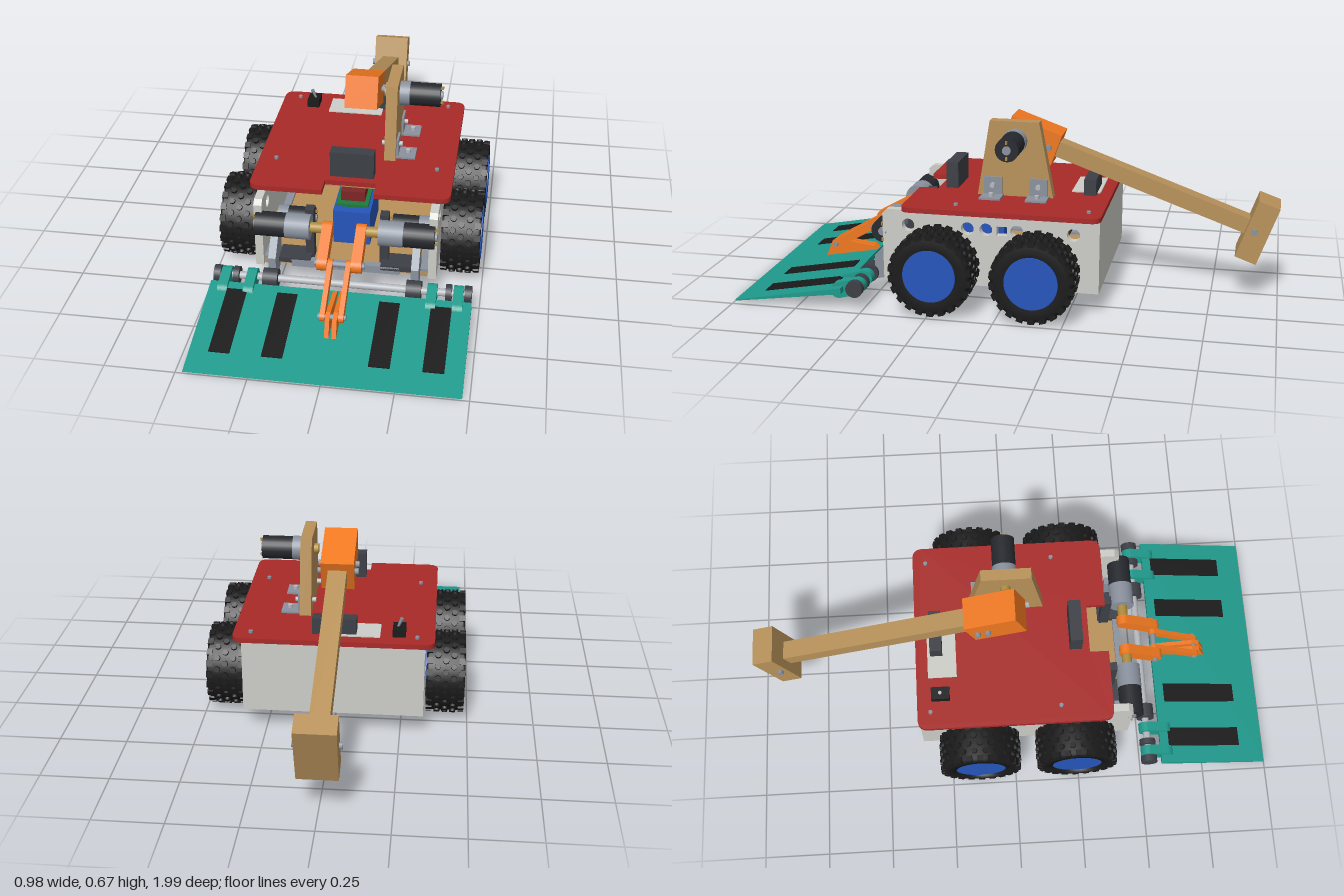
import * as THREE from 'three';
import { mergeGeometries } from 'three/addons/utils/BufferGeometryUtils.js';

const C = { wall: 0xcdcdc8, red: 0xa82a28, wood: 0xb8915a, orange: 0xf07820, teal: 0x1f9a8c, black: 0x1a1a1a,
  motor: 0x25282d, steel: 0x8a929e, dark: 0x3c3f46, brass: 0xb08d3c, blue: 0x2555bb, silver: 0xb5b8bd };

const mats = {};
const mat = c => (mats[c] ??= new THREE.MeshStandardMaterial({ color: c }));

function add(parent, name, geo, color) {
  const m = new THREE.Mesh(geo, mat(color));
  m.name = name;
  parent.add(m);
  return m;
}

// Box given by its limits on each axis
function box(parent, name, color, [x0, x1], [y0, y1], [z0, z1]) {
  const g = new THREE.BoxGeometry(x1 - x0, y1 - y0, z1 - z0);
  return add(parent, name, g.translate((x0 + x1) / 2, (y0 + y1) / 2, (z0 + z1) / 2), color);
}

// Cylinder lying along x
function rod(parent, name, color, x0, x1, r, y, z, sides = 24) {
  const g = new THREE.CylinderGeometry(r, r, Math.abs(x1 - x0), sides).rotateZ(Math.PI / 2);
  return add(parent, name, g.translate((x0 + x1) / 2, y, z), color);
}

// Side profile in (z, y), extruded from x0 to x1
function slab(parent, name, color, shape, x0, x1) {
  const g = new THREE.ExtrudeGeometry(shape, { depth: x1 - x0, bevelEnabled: false, curveSegments: 12 });
  return add(parent, name, g.rotateY(-Math.PI / 2).translate(x1, 0, 0), color);
}
const poly = pts => new THREE.Shape(pts.map(p => new THREE.Vector2(...p)));

// Bar with round ends between two (z, y) points
function barShape(p, q, r) {
  const a = Math.atan2(q[1] - p[1], q[0] - p[0]), h = Math.PI / 2;
  const s = new THREE.Shape();
  s.absarc(p[0], p[1], r, a + h, a + 3 * h, false);
  s.absarc(q[0], q[1], r, a - h, a + h, false);
  s.closePath();
  return s;
}

// Motor with its shaft pointing toward x = 0 on the side s
function motor(parent, name, s, x0, y, z, r, boxLen, canLen) {
  const g = new THREE.Group();
  g.name = name;
  parent.add(g);
  const x1 = x0 + boxLen, x2 = x1 + canLen;
  rod(g, 'gearbox', C.steel, s * x0, s * x1, r, y, z);
  rod(g, 'motorCan', C.motor, s * x1, s * x2, r * 0.96, y, z);
  rod(g, 'rearBoss', C.steel, s * x2, s * (x2 + 0.008), r * 0.35, y, z, 16);
  for (const k of [-1, 1]) box(g, 'terminal', C.brass, [s * x2 - 0.008, s * x2 + 0.008].map(v => v + s * 0.003), [y + k * 0.03 - 0.006, y + k * 0.03 + 0.006], [z - 0.003, z + 0.003]);
  rod(g, 'coupler', C.brass, s * (x0 - 0.06), s * x0, r * 0.42, y, z, 16);
}

function wheel(s, z) {
  const g = new THREE.Group();
  g.name = 'wheel';
  // Tyre profile as (radius, offset along the axle)
  const prof = [[0.096, -0.068], [0.135, -0.072], [0.149, -0.062], [0.149, 0.062], [0.135, 0.072], [0.096, 0.068], [0.096, -0.068]];
  add(g, 'tyre', new THREE.LatheGeometry(prof.map(p => new THREE.Vector2(...p)), 40).rotateZ(Math.PI / 2), C.black).material.side = THREE.DoubleSide;
  const knobs = [];
  for (let row = 0; row < 5; row++) for (let i = 0; i < 22; i++) {
    const edge = row === 0 || row === 4;
    const k = edge ? new THREE.BoxGeometry(0.022, 0.022, 0.024) : new THREE.CylinderGeometry(0.011, 0.013, 0.02, 8);
    k.translate((row - 2) * 0.03, edge ? 0.144 : 0.148, 0);
    knobs.push(k.rotateX(((i + (row % 2) / 2) / 22) * Math.PI * 2));
  }
  add(g, 'treadKnobs', mergeGeometries(knobs), C.black);
  rod(g, 'hub', C.blue, -0.066, 0.075, 0.098, 0, 0, 40);
  rod(g, 'axle', C.steel, -s * 0.18, 0, 0.014, 0, 0, 12);
  g.position.set(s * 0.414, 0.158, z);
  return g;
}

export function createModel() {
  const root = new THREE.Group();
  root.name = 'hammerRobot';

  // Open-fronted chassis
  const chassis = new THREE.Group();
  chassis.name = 'chassis';
  root.add(chassis);
  const side = poly([[-0.36, 0.08], [0.455, 0.08], [0.455, 0.34], [0.437, 0.357], [-0.36, 0.357]]);
  for (const z of [0.356, 0.13, 0.06, -0.056, -0.265]) side.holes.push(new THREE.Path().absarc(z, 0.3, 0.024, 0, Math.PI * 2, true));
  side.holes.push(new THREE.Path([[-0.02, 0.28], [-0.02, 0.315], [0.02, 0.315], [0.02, 0.28]].map(p => new THREE.Vector2(...p))));
  for (const x of [-0.335, 0.305]) slab(chassis, 'sideWall', C.wall, side, x, x + 0.03);
  box(chassis, 'backWall', C.wall, [-0.305, 0.305], [0.08, 0.357], [-0.36, -0.33]);
  box(chassis, 'floor', C.wood, [-0.305, 0.305], [0.085, 0.1], [-0.33, 0.44]);
  for (const s of [-1, 1]) box(chassis, 'floorRail', C.steel, [s * 0.29 - 0.015, s * 0.29 + 0.015], [0.08, 0.11], [-0.33, 0.44]);
  box(chassis, 'rearFloorRail', C.steel, [-0.28, 0.28], [0.08, 0.11], [-0.33, -0.3]);
  box(chassis, 'frontRail', C.steel, [-0.2, 0.2], [0.085, 0.115], [0.43, 0.455]);
  box(chassis, 'battery', C.blue, [-0.07, 0.07], [0.1, 0.24], [0.05, 0.3]);
  box(chassis, 'circuitBoard', 0x1f7a3c, [-0.06, 0.06], [0.25, 0.262], [0.05, 0.28]);
  box(chassis, 'receiver', 0x7d2626, [-0.045, 0.045], [0.265, 0.305], [0.08, 0.26]);
  for (const s of [-1, 1]) for (const z of [0.238, -0.137]) {
    motor(chassis, 'driveMotor', -s, -0.29, 0.16, z, 0.042, 0.04, 0.1);
    root.add(wheel(s, z));
  }

  // Lid: rounded rectangle with a front notch, drawn in (x, -z)
  const lid = new THREE.Shape(), w = 0.37, b = 0.365, f = -0.378, r = 0.04;
  lid.moveTo(-w + r, f).lineTo(-0.097, f).lineTo(-0.097, -0.305).lineTo(0.093, -0.305).lineTo(0.093, f);
  lid.lineTo(w - r, f).quadraticCurveTo(w, f, w, f + r).lineTo(w, b - r).quadraticCurveTo(w, b, w - r, b);
  lid.lineTo(-w + r, b).quadraticCurveTo(-w, b, -w, b - r).lineTo(-w, f + r).quadraticCurveTo(-w, f, -w + r, f);
  add(root, 'lid', new THREE.ExtrudeGeometry(lid, { depth: 0.019, bevelEnabled: false }).rotateX(-Math.PI / 2).translate(0, 0.358, 0), C.red);
  box(root, 'subLid', C.wood, [-0.2, 0.285], [0.344, 0.358], [-0.28, 0.29]);
  for (const x of [-0.305, 0.305]) for (const z of [-0.315, 0.18])
    add(root, 'lidScrew', new THREE.CylinderGeometry(0.008, 0.008, 0.01, 12).translate(x, 0.381, z), C.steel);

  // Parts on the lid
  box(root, 'frontStop', C.dark, [-0.083, 0.08], [0.376, 0.478], [0.228, 0.275]);
  box(root, 'rearStop', C.dark, [-0.083, 0.08], [0.376, 0.44], [-0.308, -0.262]);
  box(root, 'accessPanel', C.wall, [-0.17, 0.045], [0.376, 0.381], [-0.32, -0.21]);
  box(root, 'switchBody', C.black, [-0.263, -0.215], [0.376, 0.406], [-0.31, -0.24]);
  const lever = add(root, 'switchLever', new THREE.CylinderGeometry(0.007, 0.004, 0.04, 10), C.steel);
  lever.position.set(-0.24, 0.42, -0.275);
  lever.rotation.z = 0.4;

  // Hammer tower and its motor
  slab(root, 'tower', C.wood, poly([[0.136, 0.345], [0.136, 0.375], [0.088, 0.665], [-0.1, 0.665], [-0.155, 0.375], [-0.155, 0.345]]), 0.1, 0.143);
  motor(root, 'hammerMotor', 1, 0.143, 0.593, -0.01, 0.046, 0.038, 0.115);
  for (const z of [0.075, -0.1]) {
    const g = new THREE.Group();
    g.name = 'towerBracket';
    root.add(g);
    box(g, 'bracketFoot', C.steel, [0.143, 0.215], [0.376, 0.384], [z - 0.04, z + 0.04]);
    box(g, 'bracketBack', C.steel, [0.143, 0.151], [0.376, 0.45], [z - 0.035, z + 0.035]);
    rod(g, 'bracketBolt', C.silver, 0.085, 0.164, 0.01, 0.42, z, 8);
    add(g, 'footBolt', new THREE.CylinderGeometry(0.01, 0.01, 0.07, 8).translate(0.185, 0.362, z), C.silver);
  }

  // Hammer, built level and then tilted about its hub
  const hammer = new THREE.Group();
  hammer.name = 'hammer';
  hammer.position.set(0, 0.575, -0.055);
  hammer.rotation.x = -0.345;
  root.add(hammer);
  box(hammer, 'hammerHub', C.orange, [-0.062, 0.062], [-0.0625, 0.0625], [-0.102, 0.102]);
  box(hammer, 'hammerArm', C.wood, [-0.035, 0.035], [-0.03, 0.03], [-0.93, -0.1]);
  box(hammer, 'hammerHead', C.wood, [-0.072, 0.072], [-0.117, 0.117], [-0.954, -0.87]);
  rod(hammer, 'headBolt', C.steel, -0.084, 0.084, 0.012, 0, -0.9, 10);
  for (const z of [-0.07, -0.03]) rod(hammer, 'hubBolt', C.steel, -0.077, 0.077, 0.012, 0, z, 10);

  // Lifting linkage, mirrored left and right
  const lift = new THREE.Group();
  lift.name = 'liftLinkage';
  root.add(lift);
  const pivot = [0.457, 0.267], elbow = [0.577, 0.2], toe = [0.752, 0.1];
  for (const s of [-1, 1]) {
    const bar = (name, shape, a, c) => slab(lift, name, C.orange, shape, Math.min(s * a, s * c), Math.max(s * a, s * c));
    motor(lift, 'liftMotor', s, 0.125, 0.267, 0.457, 0.047, 0.09, 0.112);
    bar('crank', barShape(pivot, elbow, 0.027), 0.043, 0.08);
    bar('pushLink', barShape(elbow, toe, 0.017), 0.024, 0.042);
    bar('toeClevis', poly([[0.585, 0.082], [0.8, 0.042], [0.775, 0.105], [0.745, 0.115], [0.6, 0.097]]), 0.005, 0.021);
    box(lift, 'motorPlate', C.dark, [s * 0.138 - 0.016, s * 0.138 + 0.016], [0.1, 0.31], [0.375, 0.412]);
    box(lift, 'motorShelf', C.dark, [s * 0.19 - 0.06, s * 0.19 + 0.06], [0.1, 0.12], [0.37, 0.455]);
    slab(lift, 'shaftBracket', C.steel, poly([[0.4, 0.08], [0.51, 0.055], [0.51, 0.15], [0.455, 0.21], [0.4, 0.21]]), s * 0.262 - 0.014, s * 0.262 + 0.014);
    rod(lift, 'shaftBearing', C.dark, s * 0.235, s * 0.29, 0.035, 0.08, 0.53);
  }
  rod(lift, 'elbowPin', C.steel, -0.09, 0.09, 0.011, ...[elbow[1], elbow[0]], 12);
  rod(lift, 'toePin', C.steel, -0.05, 0.05, 0.01, toe[1], toe[0], 12);

  // Front wedge with grip strips and hinge
  const wedge = new THREE.Group();
  wedge.name = 'wedge';
  root.add(wedge);
  slab(wedge, 'wedgePlate', C.teal, poly([[0.58, 0.06], [0.995, 0.002], [1, 0.006], [0.58, 0.083]]), -0.475, 0.475);
  const top = z => 0.006 + (1 - z) * (0.077 / 0.42);
  for (const x of [-0.37, -0.185, 0.185, 0.37])
    slab(wedge, 'gripStrip', C.black, poly([[0.615, top(0.615) - 0.004], [0.905, top(0.905) - 0.004], [0.905, top(0.905) + 0.003], [0.615, top(0.615) + 0.003]]), x - 0.037, x + 0.037);
  rod(wedge, 'hingeShaft', C.silver, -0.47, 0.47, 0.014, 0.08, 0.53, 16);
  for (const s of [-1, 1]) {
    for (const x of [0.425, 0.33]) slab(wedge, 'hingeLug', C.teal, barShape([0.53, 0.08], [0.6, 0.062], 0.03), s * x - 0.018, s * x + 0.018);
    rod(wedge, 'hingeCollar', C.dark, s * 0.378, s * 0.4, 0.032, 0.08, 0.53);
    rod(wedge, 'hingeEnd', C.dark, s * 0.446, s * 0.472, 0.032, 0.08, 0.53);
  }
  return root;
}
